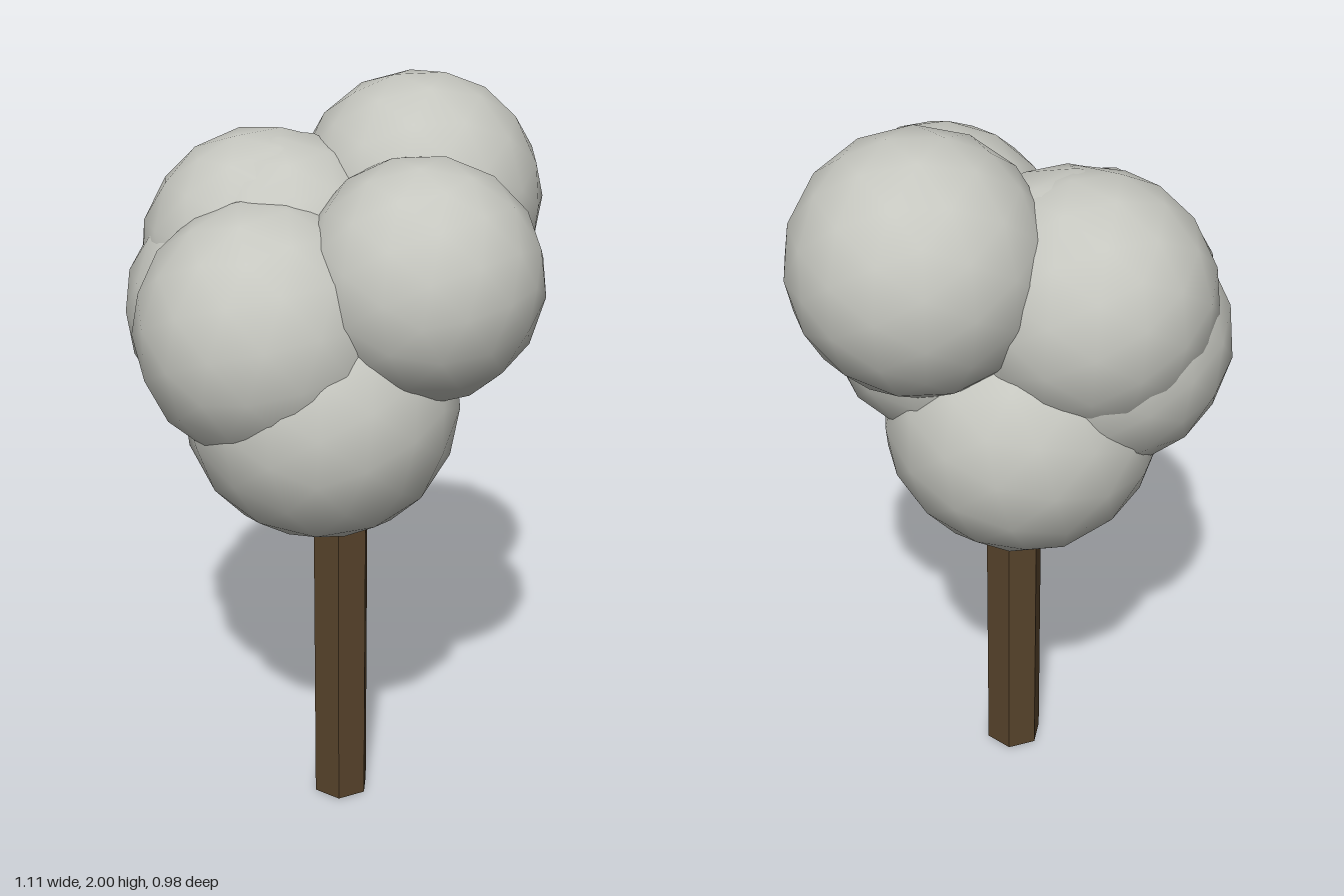
import * as THREE from 'three';

export function createModel() {
  const tree = new THREE.Group();
  tree.name = 'tree';

  const foliage = new THREE.MeshStandardMaterial({ color: 0xc6c7c0 });
  foliage.name = 'pale foliage';
  const bark = new THREE.MeshStandardMaterial({ color: 0x57432b });
  bark.name = 'brown bark';

  // Six-sided trunk, running up into the crown
  const trunkGeometry = new THREE.CylinderGeometry(0.08, 0.08, 1.1, 6, 1, false, Math.PI / 4).toNonIndexed();
  trunkGeometry.computeVertexNormals();
  const trunk = new THREE.Mesh(trunkGeometry, bark);
  trunk.name = 'trunk';
  trunk.position.set(-0.018, 0.55, 0.042);
  tree.add(trunk);

  // Crown of overlapping low-poly balls: name, x, y, z, radius
  const crown = new THREE.Group();
  crown.name = 'crown';
  const ball = new THREE.IcosahedronGeometry(1, 2);
  const clumps = [
    ['topLeftClump', 0.23, 1.675, -0.17, 0.327],
    ['frontLeftClump', 0.16, 1.56, 0.185, 0.31],
    ['middleLeftClump', 0.14, 1.46, -0.02, 0.325],
    ['frontRightClump', -0.22, 1.425, 0.105, 0.337],
    ['backRightClump', -0.225, 1.42, -0.1, 0.333],
    ['upperBackRightClump', -0.18, 1.55, -0.15, 0.327],
    ['upperMiddleClump', -0.14, 1.545, -0.12, 0.325],
    ['lowerFrontClump', -0.08, 1.225, 0.105, 0.36],
    ['lowerBackClump', -0.025, 1.215, -0.12, 0.36],
  ];
  clumps.forEach(([name, x, y, z, radius], i) => {
    const clump = new THREE.Mesh(ball, foliage);
    clump.name = name;
    clump.position.set(x, y, z);
    clump.rotation.set(i * 0.7, i * 1.3, i * 0.4);
    clump.scale.setScalar(radius);
    crown.add(clump);
  });
  tree.add(crown);

  return tree;
}
